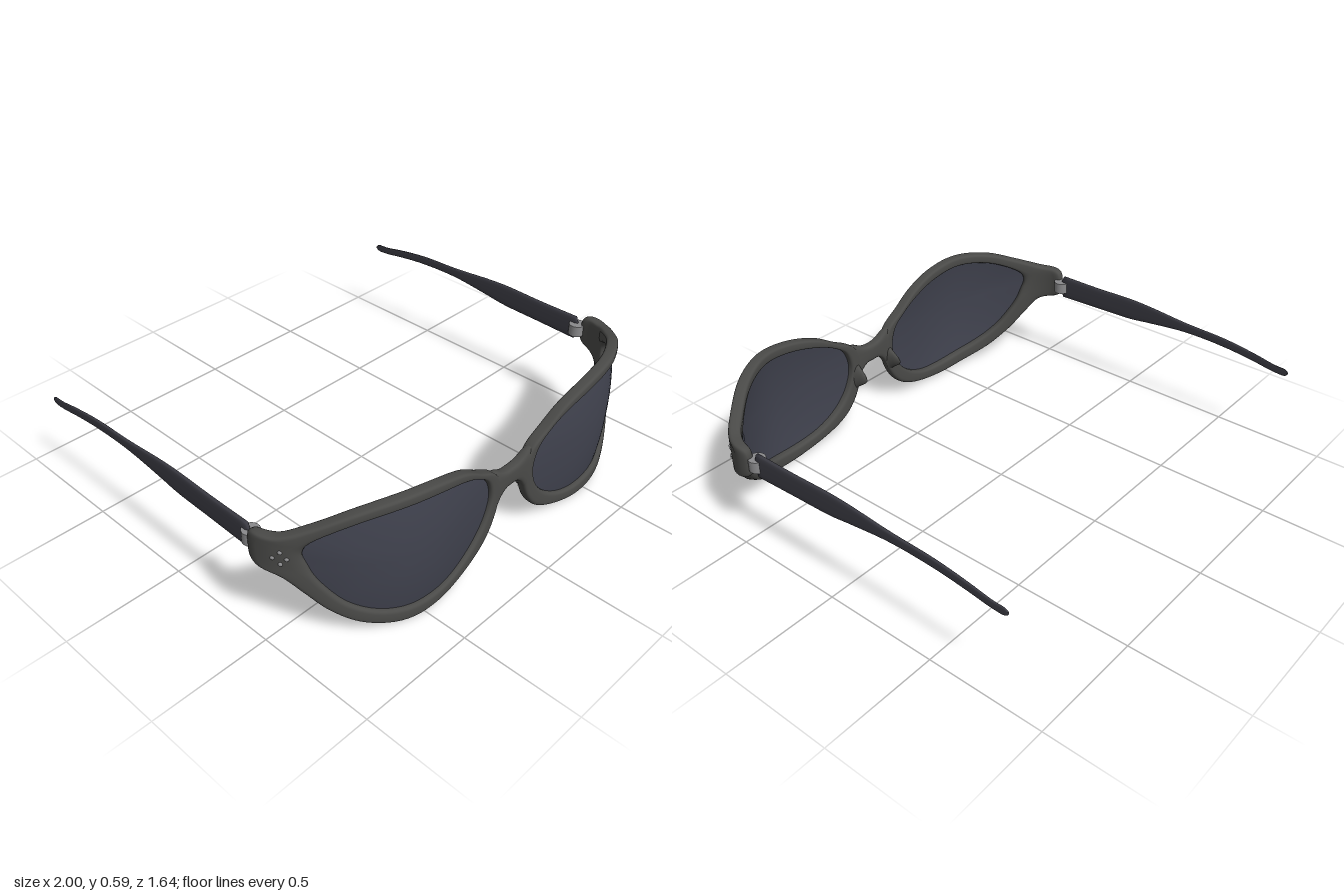
import * as THREE from 'three';
import { mergeVertices } from 'three/addons/utils/BufferGeometryUtils.js';

const V = (x, y, z = 0) => new THREE.Vector3(x, y, z);
const mat = (color, side = THREE.FrontSide) => new THREE.MeshStandardMaterial({ color, side });
const frameMat = mat(0x4a4a48);
const lensMat = mat(0x40424e, THREE.DoubleSide);
const armMat = mat(0x3a3a42);
const metalMat = mat(0x8a8a8c);

// Wrap line seen from above (x, 0, z), from the bridge to the hinge
const wrapLine = new THREE.CatmullRomCurve3([
  [0, 0.775], [0.2, 0.782], [0.45, 0.795], [0.6, 0.775], [0.75, 0.705],
  [0.88, 0.605], [0.94, 0.545], [0.972, 0.48], [0.972, 0.41],
].map(([x, z]) => V(x, 0, z)));
const wrapLength = wrapLine.getLength();

// Bend a flat point (u along the wrap, height y, w outward) onto the wrap line
function wrap(u, y, w) {
  const t = Math.min(Math.abs(u) / wrapLength, 1);
  const p = wrapLine.getPointAt(t), d = wrapLine.getTangentAt(t);
  return V((p.x - d.z * w) * (u < 0 ? -1 : 1), y, p.z + d.x * w);
}

// Rounded-box cross-section
const power = (v) => Math.sign(v) * Math.pow(Math.abs(v), 0.55);
const section = (t) => [power(Math.cos(t * 2 * Math.PI)), power(Math.sin(t * 2 * Math.PI))];

// Smooth surface from a rule f(s, t), optionally mirrored in x
function surface(name, material, rows, cols, f, side = 1) {
  const pos = [], index = [];
  for (let i = 0; i <= rows; i++) {
    for (let j = 0; j <= cols; j++) {
      const p = f(i / rows, j / cols);
      pos.push(p.x * side, p.y, p.z);
      if (i === rows || j === cols) continue;
      const a = i * (cols + 1) + j, b = a + 1, c = a + cols + 1, d = c + 1;
      if (side > 0) index.push(a, b, c, b, d, c);
      else index.push(a, c, b, b, c, d);
    }
  }
  let g = new THREE.BufferGeometry();
  g.setAttribute('position', new THREE.Float32BufferAttribute(pos, 3));
  g.setIndex(index);
  g = mergeVertices(g, 1e-5);
  g.computeVertexNormals();
  const mesh = new THREE.Mesh(g, material);
  mesh.name = name;
  return mesh;
}

// Lens opening and outer rim, point for point, clockwise from the bridge
const loop = (pts) => new THREE.CatmullRomCurve3(pts.map(([u, y]) => V(u, y)), true);
const opening = loop([
  [0.13, 0.31], [0.155, 0.395], [0.22, 0.45], [0.31, 0.49], [0.44, 0.525],
  [0.6, 0.545], [0.75, 0.53], [0.87, 0.49], [0.93, 0.455], [0.948, 0.425],
  [0.948, 0.4], [0.935, 0.365], [0.915, 0.315], [0.88, 0.26], [0.8, 0.17],
  [0.68, 0.1], [0.5, 0.06], [0.34, 0.075], [0.22, 0.14], [0.155, 0.22],
]);
const rim = loop([
  [0.075, 0.33], [0.105, 0.405], [0.2, 0.465], [0.3, 0.525], [0.45, 0.572],
  [0.61, 0.59], [0.77, 0.57], [0.91, 0.525], [1.03, 0.488], [1.14, 0.47],
  [1.15, 0.41], [1.14, 0.355], [1.03, 0.315], [0.95, 0.235], [0.87, 0.15],
  [0.74, 0.06], [0.52, 0.003], [0.31, 0.03], [0.17, 0.095], [0.1, 0.195],
]);

// Half-outlines along x or z: (position, top, bottom)
const bridgeLine = new THREE.CatmullRomCurve3([
  V(0, 0.375, 0.295), V(0.03, 0.377, 0.294), V(0.06, 0.388, 0.275),
  V(0.09, 0.405, 0.23), V(0.12, 0.415, 0.19),
]);
const armLine = new THREE.CatmullRomCurve3([
  V(0.42, 0.465, 0.355), V(0.2, 0.465, 0.363), V(0, 0.47, 0.37),
  V(-0.1, 0.466, 0.383), V(-0.3, 0.449, 0.405), V(-0.5, 0.441, 0.402),
  V(-0.65, 0.422, 0.386), V(-0.75, 0.404, 0.371), V(-0.805, 0.4, 0.37),
  V(-0.82, 0.389, 0.381),
]);

function createHalf(side) {
  const half = new THREE.Group();
  half.name = side > 0 ? 'leftHalf' : 'rightHalf';

  half.add(surface('rim', frameMat, 160, 24, (s, t) => {
    const [c, w] = section(t);
    const p = opening.getPoint(s).lerp(rim.getPoint(s), 0.5 + 0.5 * c);
    return wrap(p.x, p.y, w * 0.025);
  }, side));

  // Slightly domed lens
  half.add(surface('lens', lensMat, 80, 12, (s, t) => {
    const r = 1 - t;
    const p = V(0.53, 0.3).lerp(opening.getPoint(s), r * 1.02);
    return wrap(p.x, p.y, 0.005 + 0.02 * (1 - r * r));
  }, side));

  // Tapering temple arm, closed at both ends
  half.add(surface('templeArm', armMat, 72, 20, (s, t) => {
    const p = armLine.getPoint(s), [c, w] = section(t);
    const open = s === 0 || s === 1 ? 0 : 1;
    const thick = THREE.MathUtils.lerp(0.011, 0.003, s);
    return V(0.961 - 0.008 * s + w * thick * open,
      (p.y + p.z) / 2 + c * open * (p.y - p.z) / 2, p.x);
  }, side));

  const hinge = new THREE.Mesh(new THREE.CylinderGeometry(0.035, 0.035, 0.05, 24), metalMat);
  hinge.name = 'hinge';
  hinge.position.set(0.955 * side, 0.412, 0.405);
  half.add(hinge);

  // Flared nose pad, stretched along the rim
  const profile = [[0.027, 0], [0.02, 0.012], [0.014, 0.035], [0.007, 0.06], [0, 0.072]];
  const padGeo = new THREE.LatheGeometry(profile.map(([r, h]) => new THREE.Vector2(r, h)), 24);
  padGeo.rotateX(-Math.PI / 2).scale(1, 2.6, 1);
  const pad = new THREE.Mesh(padGeo, frameMat);
  pad.name = 'nosePad';
  pad.position.set(0.107 * side, 0.26, 0.763);
  pad.rotation.z = 0.12 * side;
  half.add(pad);

  // Small rivets on the end piece
  for (const [u, y] of [[1.0, 0.4], [1.02, 0.428], [1.045, 0.402], [1.02, 0.376]]) {
    const rivet = new THREE.Mesh(new THREE.SphereGeometry(0.009, 12, 8), metalMat);
    rivet.name = 'rivet';
    rivet.position.copy(wrap(u, y, 0.021));
    rivet.position.x *= side;
    half.add(rivet);
  }
  return half;
}

export function createModel() {
  const model = new THREE.Group();
  model.name = 'sunglasses';
  model.add(createHalf(1), createHalf(-1));
  model.add(surface('bridge', frameMat, 32, 24, (s, t) => {
    const u = s * 2 - 1, p = bridgeLine.getPoint(Math.abs(u)), [c, w] = section(t);
    return wrap(p.x * Math.sign(u), (p.y + p.z) / 2 + c * (p.y - p.z) / 2, w * 0.024);
  }));
  return model;
}
